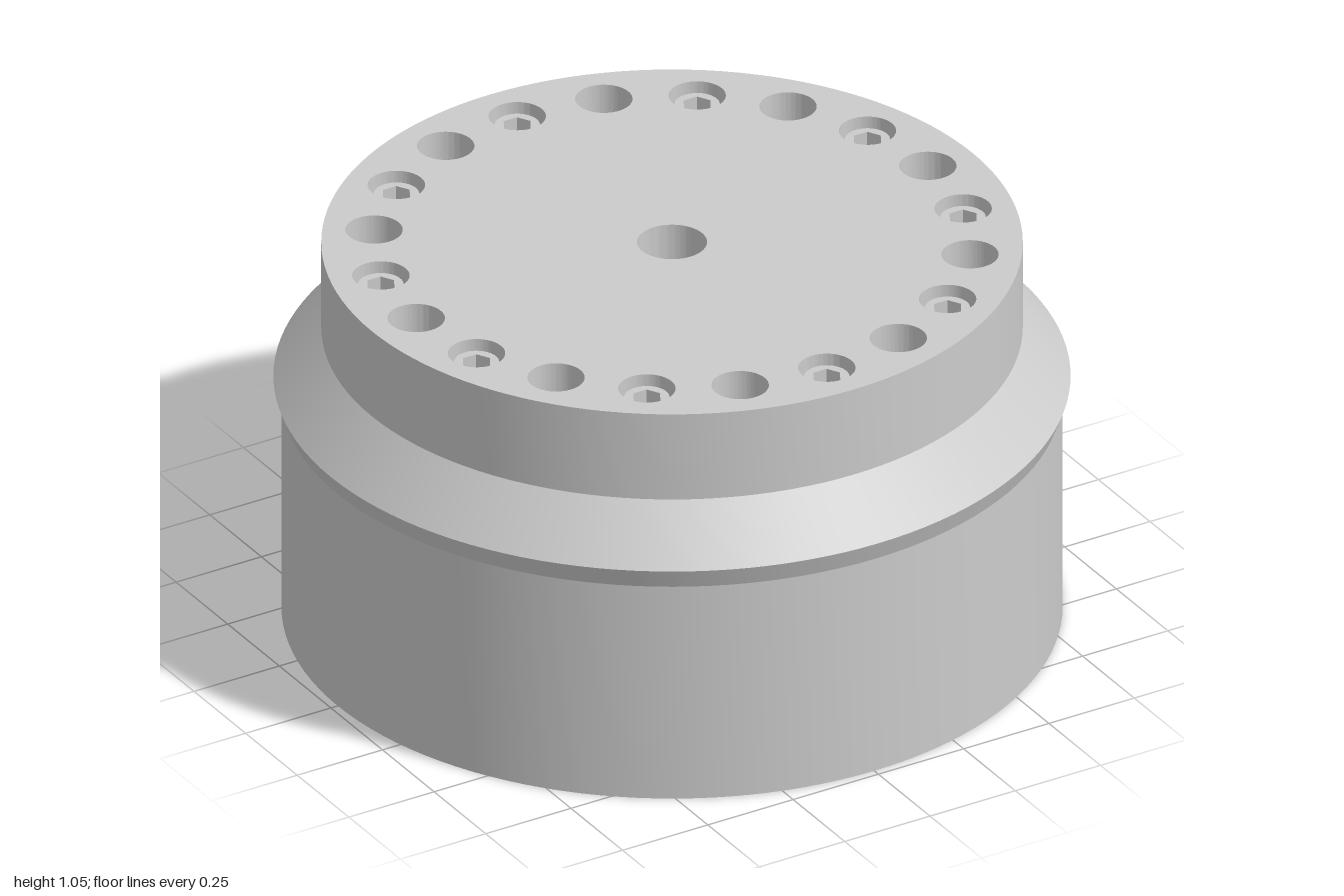
import * as THREE from 'three';
import { toCreasedNormals } from 'three/addons/utils/BufferGeometryUtils.js';

const TOP = 1.05, COLLAR = 0.805, RING = 0.75, COUNT = 20, POCKET = 0.072, BORE = 0.088;
const grey = new THREE.MeshStandardMaterial({ color: 0xcccccc });
const greyBoth = new THREE.MeshStandardMaterial({ color: 0xcccccc, side: THREE.DoubleSide });

function add(parent, name, geometry, y = 0, material = grey) {
  const mesh = new THREE.Mesh(geometry, material);
  mesh.name = name;
  mesh.position.y = y;
  parent.add(mesh);
}

const circle = (Type, x, y, r) => new Type().absarc(x, y, r, 0, Math.PI * 2, false);

// Extrudes a shape upward from the ground plane
function extrudeUp(shape, depth, curveSegments) {
  const g = new THREE.ExtrudeGeometry(shape, { depth, curveSegments, bevelEnabled: false });
  return toCreasedNormals(g.rotateX(-Math.PI / 2), 0.5);
}

// Cap screw with a hexagonal socket; its origin is the top of the head
function makeBolt(r) {
  const bolt = new THREE.Group();
  bolt.name = 'bolt';
  const hexR = r * 0.68, height = 0.08, socket = 0.04, taper = 0.02;
  const head = circle(THREE.Shape, 0, 0, r);
  const hex = new THREE.Path();
  for (let i = 0; i <= 6; i++) {
    const a = i * Math.PI / 3;
    hex[i ? 'lineTo' : 'moveTo'](hexR * Math.cos(a), hexR * Math.sin(a));
  }
  head.holes.push(hex);
  add(bolt, 'boltHead', extrudeUp(head, height, 24), -height);
  // Tapered bottom of the socket
  const tip = new THREE.ConeGeometry(hexR, taper, 6, 1, true).toNonIndexed();
  tip.rotateX(Math.PI).rotateY(Math.PI / 6);
  tip.computeVertexNormals();
  add(bolt, 'socketBottom', tip, -socket - taper / 2, greyBoth);
  return bolt;
}

export function createModel() {
  const model = new THREE.Group();
  model.name = 'flangedHousing';

  // Body: stepped lower opening, cavity, centre bore and flared outer rim
  const profile = [
    [BORE, 0.88], [0.037, 0.88], [0.037, 0.8], [0.5, 0.8], [0.5, 0.235],
    [0.455, 0.235], [0.455, 0.135], [0.495, 0.135], [0.495, 0], [0.98, 0],
    [0.98, 0.61], [1, 0.665], [0.88, COLLAR],
  ].map(([r, y]) => new THREE.Vector2(r, y));
  add(model, 'body', toCreasedNormals(new THREE.LatheGeometry(profile, 128), 0.3));

  // Top collar pierced by the centre bore and the ring of pockets
  const plate = circle(THREE.Shape, 0, 0, 0.88);
  plate.holes.push(circle(THREE.Path, 0, 0, BORE));
  for (let i = 0; i < COUNT; i++) {
    const a = i * Math.PI * 2 / COUNT;
    plate.holes.push(circle(THREE.Path, RING * Math.cos(a), RING * Math.sin(a), POCKET));
  }
  add(model, 'topCollar', extrudeUp(plate, TOP - COLLAR, 64), COLLAR);

  // Bolts alternate between deep and shallow seats
  for (let i = 0; i < COUNT; i++) {
    const a = i * Math.PI * 2 / COUNT;
    const deep = i % 2 === 0;
    const seat = new THREE.Group();
    seat.name = deep ? 'deepBoltSeat' : 'shallowBoltSeat';
    seat.position.set(RING * Math.cos(a), TOP - (deep ? 0.13 : 0.025), RING * Math.sin(a));
    seat.add(makeBolt(deep ? 0.066 : 0.057));
    add(seat, 'pocketFloor', new THREE.CircleGeometry(POCKET, 32).rotateX(-Math.PI / 2), -0.079);
    model.add(seat);
  }
  return model;
}
